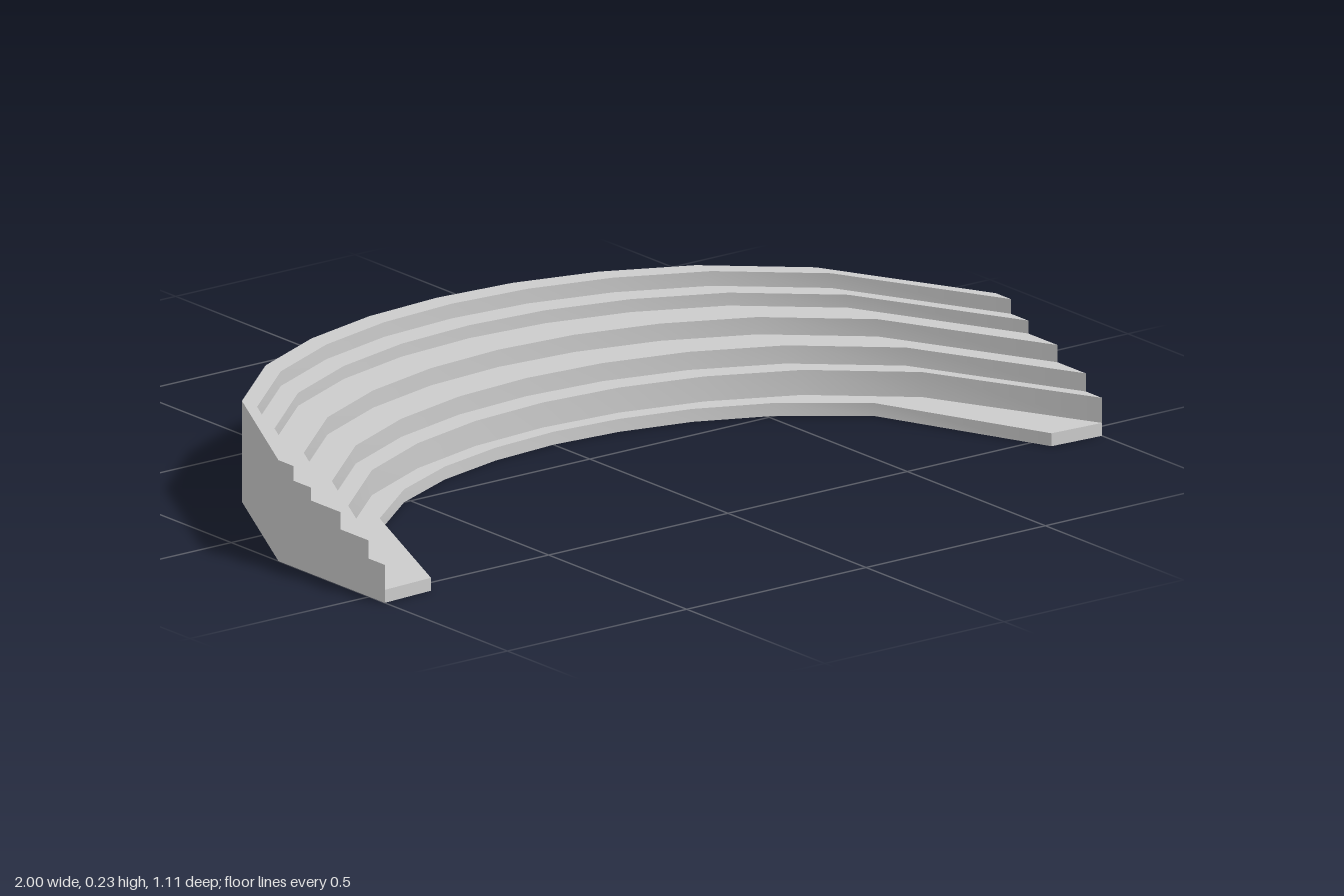
import * as THREE from 'three';
import { toCreasedNormals } from 'three/addons/utils/BufferGeometryUtils.js';

// half outlines as [x, z], mirrored to full arcs running from -x to +x
const mirror = (half) => [...half.slice(1).reverse().map(([x, z]) => [-x, z]), ...half];
const outer = mirror([[0, -0.556], [0.2, -0.54], [0.4, -0.489], [0.6, -0.395], [0.8, -0.221], [1, 0.171]]);
const inner = mirror([[0, -0.132], [0.172, -0.118], [0.345, -0.077], [0.518, 0], [0.69, 0.135], [0.865, 0.548], [1, 0.556]]);

export function createModel() {
  const group = new THREE.Group();
  group.name = 'curvedSteps';
  const material = new THREE.MeshStandardMaterial({ color: 0xcccccc });

  // one layer: the area between a front arc and the back arc, from y0 to y1
  function layer(name, front, y0, y1) {
    const outline = [...front, ...[...outer].reverse()];
    const shape = new THREE.Shape(outline.map(([x, z]) => new THREE.Vector2(x, -z)));
    const geometry = new THREE.ExtrudeGeometry(shape, { depth: y1 - y0, bevelEnabled: false });
    geometry.rotateX(-Math.PI / 2).translate(0, y0, 0);
    const mesh = new THREE.Mesh(toCreasedNormals(geometry, 0.51), material);
    mesh.name = name;
    group.add(mesh);
  }

  // base slab with the front tread
  let y = 0.03;
  layer('baseSlab', inner, 0, y);

  // tiers: [distance of the riser from the back wall, top height]
  const tiers = [[0.385, 0.088], [0.326, 0.13], [0.224, 0.17], [0.118, 0.2], [0.055, 0.234]];
  tiers.forEach(([offset, top], i) => {
    layer(`step${i + 1}`, outer.map(([x, z]) => [x, z + offset]), y, top);
    y = top;
  });
  return group;
}
